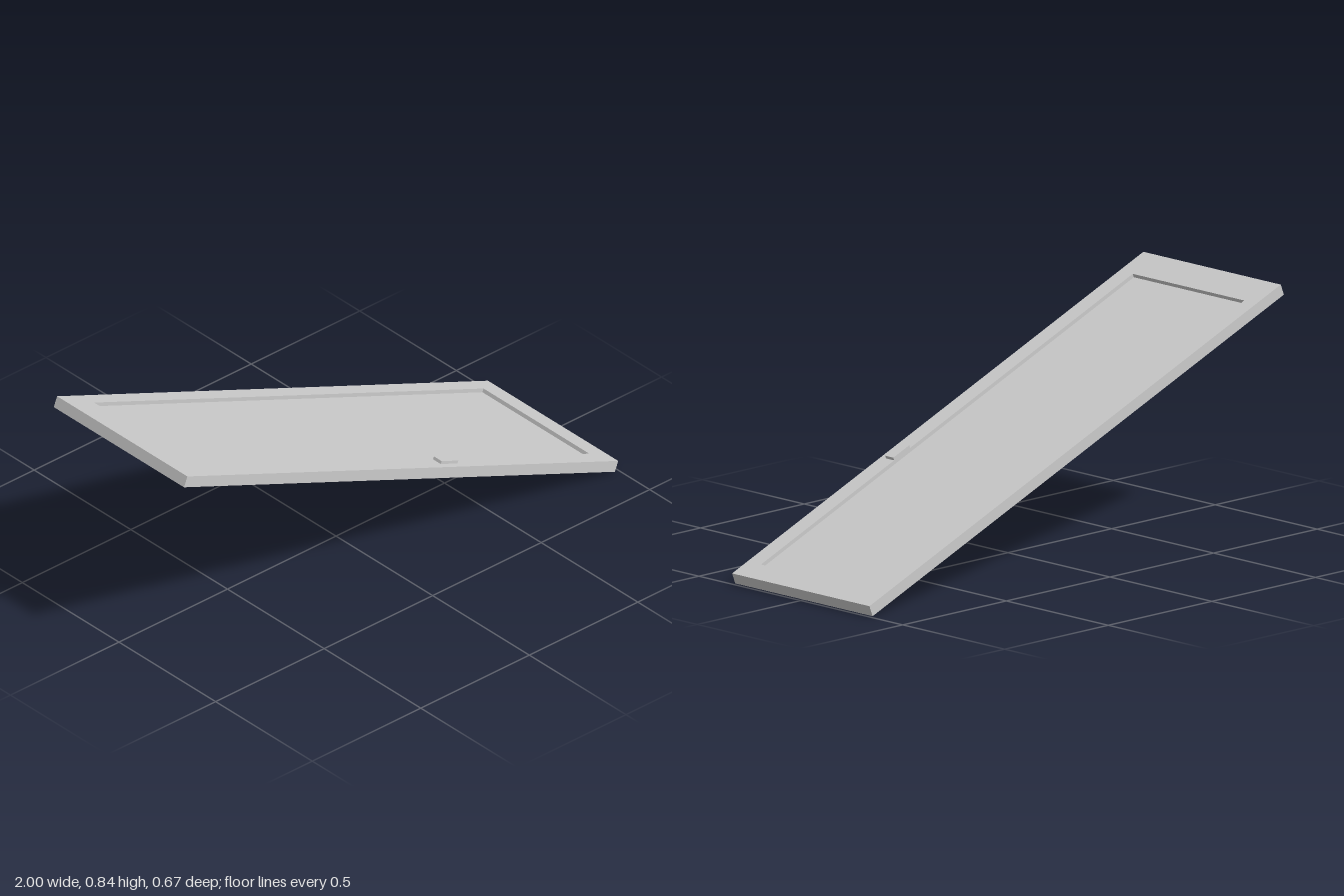
import * as THREE from 'three';

const TILT = THREE.MathUtils.degToRad(22);
const HALF_T = 0.0205;   // half the slab thickness
const DEPTH = 0.014;     // recess depth

// One rectangular cross-section at height y, corners counter-clockwise from above
const ring = (x0, x1, z0, z1, y) => [[x0, y, z0], [x0, y, z1], [x1, y, z1], [x1, y, z0]];

// Closed solid skinned through successive rectangles, capped at both ends
function loftRings(rings) {
  const index = [];
  for (let r = 0; r < rings.length - 1; r++) {
    for (let i = 0; i < 4; i++) {
      const j = (i + 1) % 4, a = r * 4, b = a + 4;
      index.push(a + i, a + j, b + j, a + i, b + j, b + i);
    }
  }
  const e = (rings.length - 1) * 4;
  index.push(0, 2, 1, 0, 3, 2, e, e + 1, e + 2, e, e + 2, e + 3);
  const geo = new THREE.BufferGeometry();
  geo.setAttribute('position', new THREE.Float32BufferAttribute(rings.flat(2), 3));
  geo.setIndex(index);
  const flat = geo.toNonIndexed();
  flat.computeVertexNormals();
  return flat;
}

export function createModel() {
  const model = new THREE.Group();
  model.name = 'tiltedPanel';
  const material = new THREE.MeshStandardMaterial({ color: 0xcccccc, flatShading: true });

  // Everything lies on one board, sloping down towards +x
  const board = new THREE.Group();
  board.name = 'board';
  board.position.y = 0.42;
  board.rotation.z = -TILT;
  model.add(board);

  // Slab with raised rim and sunken panel: underside, outer edge, rim, recess floor
  const slab = new THREE.Mesh(loftRings([
    ring(-1.0705, 1.0705, -0.337, 0.337, -HALF_T),
    ring(-1.0705, 1.0705, -0.337, 0.337, HALF_T),
    ring(-0.945, 0.99, -0.276, 0.271, HALF_T),
    ring(-0.945, 0.99, -0.276, 0.271, HALF_T - DEPTH),
  ]), material);
  slab.name = 'recessedSlab';
  board.add(slab);

  // Small catch standing on the front rim
  const catchHeight = 0.011;
  const latch = new THREE.Mesh(new THREE.BoxGeometry(0.083, catchHeight, 0.04), material);
  latch.name = 'catch';
  latch.position.set(0.255, HALF_T + catchHeight / 2, 0.291);
  board.add(latch);

  return model;
}
